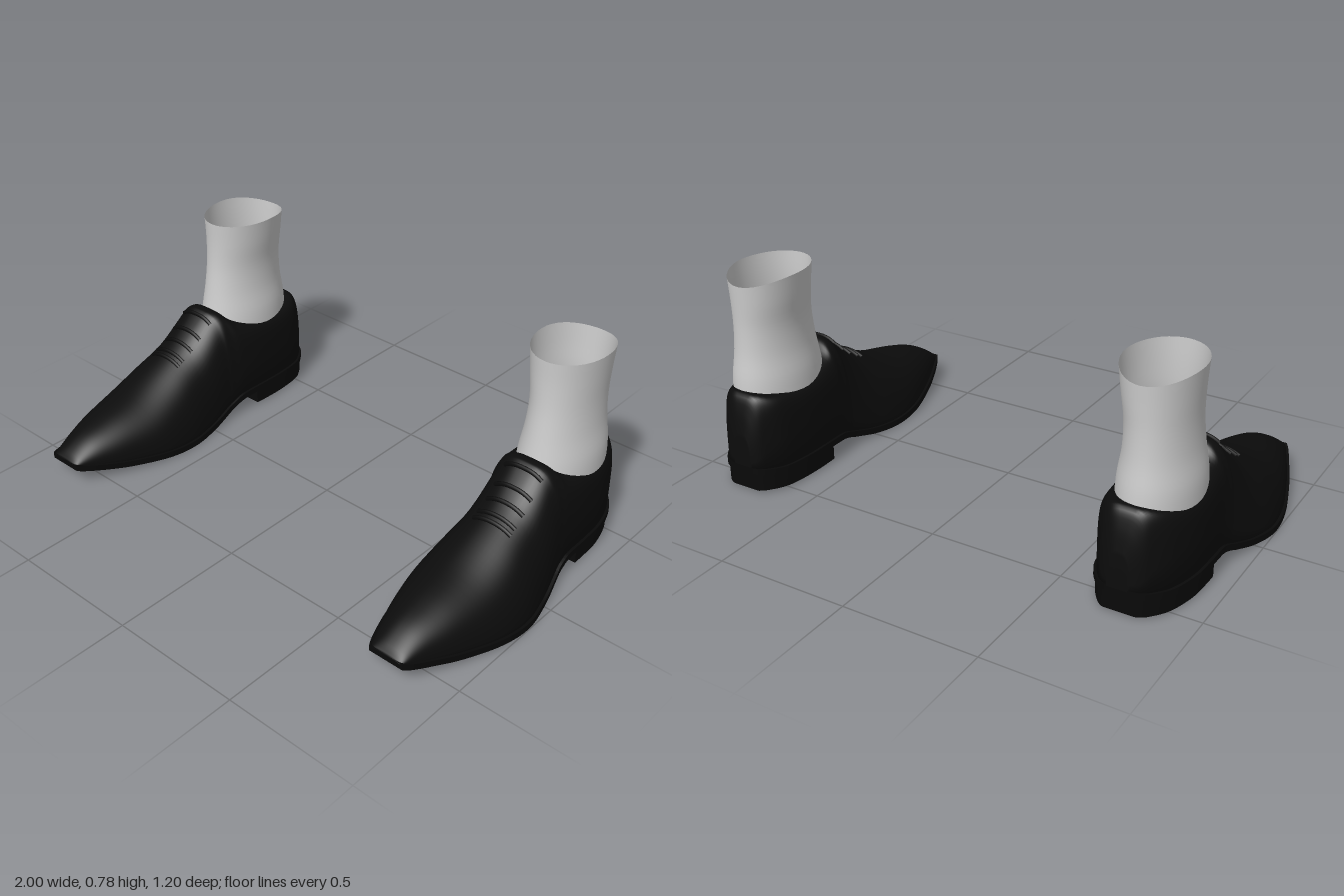
import * as THREE from 'three';
import { toCreasedNormals } from 'three/addons/utils/BufferGeometryUtils.js';

const leather = new THREE.MeshStandardMaterial({ name: 'black leather', color: 0x0c0c0c });
const soleBlack = new THREE.MeshStandardMaterial({ name: 'sole black', color: 0x090909 });
const sockGrey = new THREE.MeshStandardMaterial({ name: 'sock grey', color: 0xcccccc, side: THREE.DoubleSide });

// Shoe stations, heel to toe: z, inner x, outer x, sole underside, top, squareness
const STATIONS = [
  [-0.6, 0.71, 0.79, 0.08, 0.22, 3],
  [-0.585, 0.68, 0.83, 0.075, 0.31, 3],
  [-0.56, 0.655, 0.86, 0.072, 0.368, 4],
  [-0.5, 0.62, 0.9, 0.07, 0.364, 6],
  [-0.4, 0.605, 0.928, 0.07, 0.358, 7],
  [-0.3, 0.603, 0.935, 0.07, 0.364, 7],
  [-0.2, 0.608, 0.935, 0.066, 0.392, 5],
  [-0.16, 0.612, 0.938, 0.057, 0.43, 3.4],
  [-0.13, 0.613, 0.942, 0.046, 0.437, 3],
  [-0.1, 0.612, 0.95, 0.036, 0.422, 2.6],
  [0, 0.595, 0.977, 0.012, 0.338, 2.2],
  [0.12, 0.578, 0.998, 0.003, 0.275, 2.1],
  [0.25, 0.585, 0.985, 0.01, 0.222, 2.1],
  [0.4, 0.628, 0.94, 0.027, 0.185, 2.2],
  [0.5, 0.667, 0.9, 0.044, 0.155, 2.2],
  [0.57, 0.7, 0.87, 0.058, 0.118, 2.2],
  [0.6, 0.718, 0.852, 0.066, 0.09, 2.2],
];

// Sock rings, bottom to top: y, inner x, outer x, back z, front z
const SOCK = [
  [0.3, 0.635, 0.908, -0.545, -0.14],
  [0.4, 0.64, 0.905, -0.54, -0.158],
  [0.5, 0.655, 0.89, -0.527, -0.175],
  [0.6, 0.658, 0.884, -0.523, -0.188],
  [0.7, 0.645, 0.888, -0.526, -0.192],
  [0.787, 0.635, 0.895, -0.53, -0.19],
];

// Smoothly resamples a table of rows (Catmull-Rom on every column)
function resample(rows, steps) {
  const out = [];
  const last = rows.length - 1;
  for (let k = 0; k <= last * steps; k++) {
    const i = Math.min(Math.floor(k / steps), last - 1);
    const t = k / steps - i;
    const p = [i - 1, i, i + 1, i + 2].map((n) => rows[Math.max(0, Math.min(last, n))]);
    out.push(p[1].map((b, c) => {
      const a = p[0][c], d = p[2][c], e = p[3][c];
      return b + 0.5 * t * (d - a + t * (2 * a - 5 * b + 4 * d - e + t * (3 * (b - d) + e - a)));
    }));
  }
  return out;
}

// Skins closed rings of [x, y, z]; side -1 mirrors them in x
function loft(rings, side, capped) {
  const n = rings[0].length;
  const pos = [], index = [];
  for (const ring of rings) {
    const ordered = side < 0 ? [...ring].reverse() : ring;
    for (const [x, y, z] of ordered) pos.push(x * side, y, z);
  }
  for (let i = 0; i < rings.length - 1; i++) {
    for (let j = 0; j < n; j++) {
      const a = i * n + j, b = i * n + (j + 1) % n;
      index.push(a, b, a + n, b, b + n, a + n);
    }
  }
  if (capped) {
    const end = (rings.length - 1) * n;
    for (let j = 1; j < n - 1; j++) index.push(0, j + 1, j, end, end + j, end + j + 1);
  }
  const geo = new THREE.BufferGeometry();
  geo.setAttribute('position', new THREE.Float32BufferAttribute(pos, 3));
  geo.setIndex(index);
  geo.computeVertexNormals();
  return geo;
}

// Point on the arched upper of one station, angle 0 (outer) to PI (inner)
function archPoint([z, xi, xo, base, top, n], angle, lift = 0) {
  const c = Math.cos(angle), s = Math.max(0, Math.sin(angle));
  const half = (xo - xi) / 2 - Math.min(0.01, (xo - xi) * 0.05);
  const y0 = base + 0.018;
  return [
    (xi + xo) / 2 + Math.sign(c) * half * Math.abs(c) ** (2 / n),
    y0 + (top - y0) * s ** (2 / n) + lift,
    z,
  ];
}

function slab(z, xi, xo, y0, y1) {
  return [[xo, y0, z], [xo, y1, z], [xi, y1, z], [xi, y0, z]];
}

function makeShoe(side) {
  const shoe = new THREE.Group();
  shoe.name = side > 0 ? 'leftShoe' : 'rightShoe';
  const add = (name, geo, mat) => {
    const mesh = new THREE.Mesh(geo, mat);
    mesh.name = name;
    shoe.add(mesh);
  };
  const stations = resample(STATIONS, 5);

  // Arched leather upper
  const arches = stations.map((s) =>
    Array.from({ length: 41 }, (_, j) => archPoint(s, (Math.PI * j) / 40)));
  add('upper', loft(arches, side, true), leather);

  // Curved sole with a thin welt
  const soleRings = stations.map(([z, xi, xo, base]) => slab(z, xi, xo, base, base + 0.024));
  add('sole', toCreasedNormals(loft(soleRings, side, true), 0.7), soleBlack);

  // Heel block, following the back of the sole
  const heelRings = stations.filter((s) => s[0] < -0.257)
    .map(([z, xi, xo]) => slab(Math.max(z, -0.59), xi + 0.008, xo - 0.008, 0.01, 0.078));
  const front = heelRings[heelRings.length - 1].map(([x, y]) => [x, y, -0.255]);
  heelRings.push(front);
  add('heel', toCreasedNormals(loft(heelRings, side, true), 0.7), soleBlack);

  // Laces lying across the instep
  for (const z of [0.08, 0.035, -0.01, -0.055, -0.1]) {
    const s = stations.reduce((a, b) => (Math.abs(b[0] - z) < Math.abs(a[0] - z) ? b : a));
    const points = Array.from({ length: 9 }, (_, j) => {
      const [x, y] = archPoint(s, Math.PI * (0.38 + 0.03 * j), 0.003);
      return new THREE.Vector3(x * side, y, s[0]);
    });
    add('lace', new THREE.TubeGeometry(new THREE.CatmullRomCurve3(points), 16, 0.008, 6), soleBlack);
  }

  // Ankle sock, its rim dipping at the back
  const sockRings = resample(SOCK, 4).map(([y, xi, xo, zb, zf]) =>
    Array.from({ length: 40 }, (_, j) => {
      const a = (Math.PI * 2 * j) / 40;
      const back = Math.max(0, -Math.cos(a));
      return [
        (xi + xo) / 2 + ((xo - xi) / 2) * Math.sin(a),
        y - 0.025 * back * back * Math.max(0, (y - 0.6) / 0.187),
        (zb + zf) / 2 + ((zf - zb) / 2) * Math.cos(a),
      ];
    }));
  add('sock', loft(sockRings, side, false), sockGrey);
  return shoe;
}

export function createModel() {
  const model = new THREE.Group();
  model.name = 'pairOfShoes';
  model.add(makeShoe(1), makeShoe(-1));
  return model;
}
